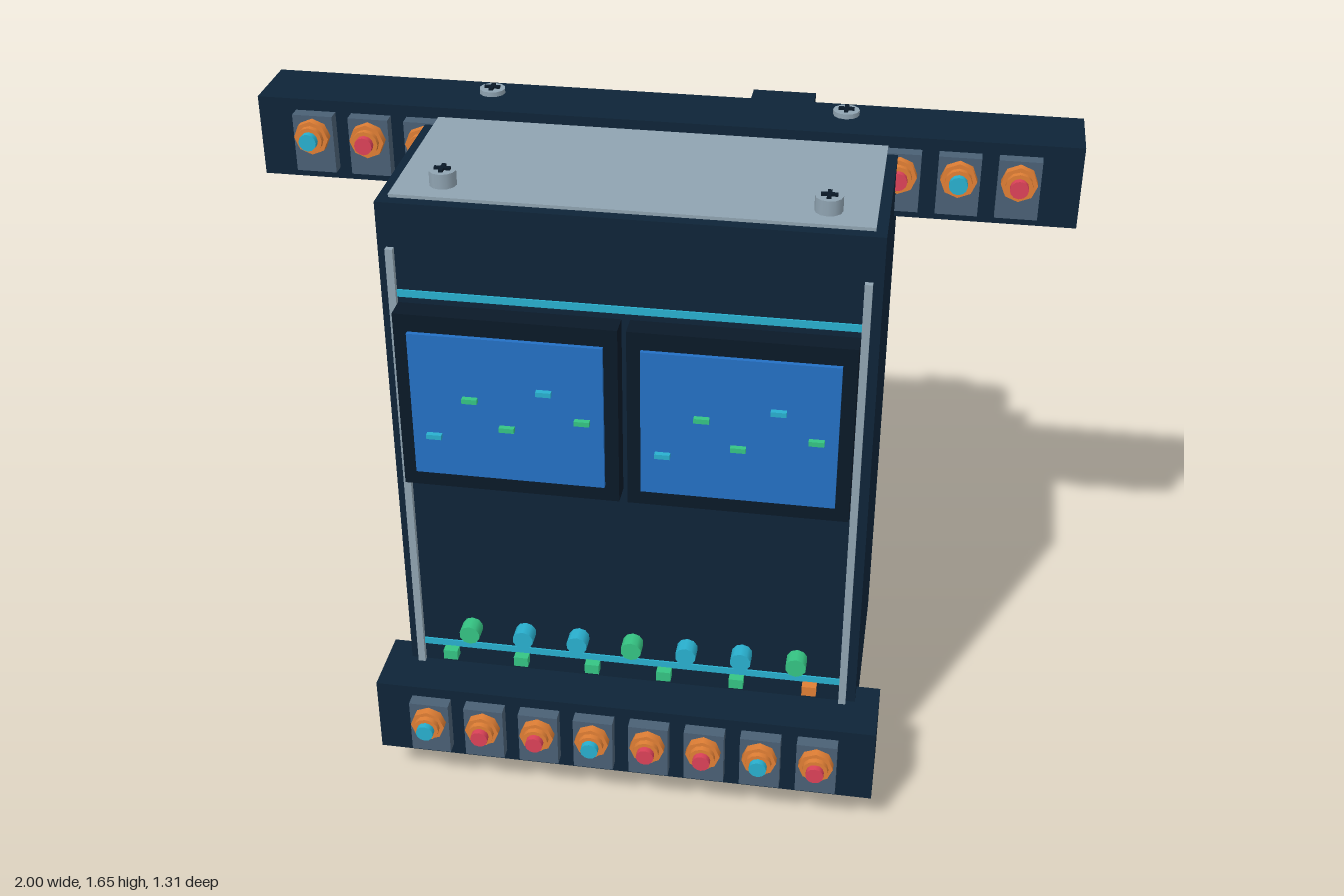
import * as THREE from 'three';

const mat = (name, color) => {
  const m = new THREE.MeshStandardMaterial({ color });
  m.name = name;
  return m;
};

export function createModel() {
  const root = new THREE.Group();
  root.name = 'controlCabinet';
  const navy = mat('navy', 0x0e2438), ink = mat('ink', 0x0a1928), blue = mat('blue', 0x2470c4),
    silver = mat('silver', 0x8fa3b1), slate = mat('slate', 0x4a6075), charcoal = mat('charcoal', 0x2b3743),
    teal = mat('teal', 0x29b0cf), green = mat('green', 0x35c483), orange = mat('orange', 0xe07f35),
    red = mat('red', 0xdc4258);

  const group = (name, parent = root) => {
    const g = new THREE.Group();
    g.name = name;
    parent.add(g);
    return g;
  };
  // box given by its limits on each axis
  const box = (name, m, x0, x1, y0, y1, z0, z1, parent = root) => {
    const b = new THREE.Mesh(new THREE.BoxGeometry(x1 - x0, y1 - y0, z1 - z0), m);
    b.position.set((x0 + x1) / 2, (y0 + y1) / 2, (z0 + z1) / 2);
    b.name = name;
    parent.add(b);
    return b;
  };
  // cylinder running from a to b along an axis, centred on (u, v) of the other two
  const rod = (name, m, axis, a, b, u, v, r, sides, parent = root) => {
    const geo = new THREE.CylinderGeometry(r, r, b - a, sides);
    if (axis === 'x') geo.rotateZ(-Math.PI / 2);
    if (axis === 'z') geo.rotateX(Math.PI / 2);
    const c = new THREE.Mesh(geo, m), mid = (a + b) / 2;
    if (axis === 'x') c.position.set(mid, u, v);
    if (axis === 'y') c.position.set(u, mid, v);
    if (axis === 'z') c.position.set(u, v, mid);
    c.name = name;
    parent.add(c);
    return c;
  };

  // cabinet, top plate and feet
  box('cabinetBody', navy, -0.57, 0.57, 0.105, 1.6, -0.225, 0.453);
  box('topPlate', silver, -0.545, 0.545, 1.6, 1.608, -0.215, 0.425);
  for (const x of [-0.495, 0.495])
    for (const z of [0.385, -0.16])
      box('foot', navy, x - 0.05, x + 0.05, 0, 0.106, z - 0.063, z + 0.063);

  // accent stripes, front and back
  for (const y of [1.375, 0.37]) {
    box('frontStripe', teal, -0.535, 0.535, y - 0.009, y + 0.009, 0.452, 0.457);
    box('backStripe', teal, -0.545, 0.545, y - 0.007, y + 0.007, -0.231, -0.224);
  }
  for (const x of [-0.541, 0.538])
    box('frontRail', silver, x - 0.009, x + 0.009, 0.3, 1.49, 0.453, 0.467);

  // screens with small readout marks
  const marks = [[-0.175, 1.04], [-0.085, 1.145], [0, 1.075], [0.09, 1.18], [0.178, 1.11]];
  for (const x of [-0.272, 0.268]) {
    const s = group('screen');
    box('bezel', ink, x - 0.26, x + 0.26, 0.89, 1.35, 0.45, 0.508, s);
    box('display', blue, x - 0.227, x + 0.227, 0.932, 1.306, 0.5, 0.519, s);
    marks.forEach(([dx, y], i) =>
      box('readoutMark', i % 3 ? green : teal, x + dx - 0.018, x + dx + 0.018, y - 0.006, y + 0.006, 0.515, 0.532, s));
  }

  // knobs and indicator lights
  for (let i = 0; i < 7; i++)
    rod('knob', i % 3 ? teal : green, 'z', 0.45, 0.494, -0.403 + i * 0.1373, 0.43, 0.026, 10);
  for (let i = 0; i < 6; i++) {
    const x = -0.46 + i * 0.183;
    box('indicatorLight', i < 5 ? green : orange, x - 0.018, x + 0.018, 0.335, 0.362, 0.45, 0.479);
  }

  // terminal boxes with connectors
  const connector = (x, y, z, tip) => {
    const c = group('connector');
    c.position.set(x, y, z);
    box('connectorPlate', slate, -0.05, 0.05, -0.097, 0.05, 0, 0.032, c);
    rod('connectorNut', orange, 'z', 0.03, 0.053, 0, 0, 0.043, 8, c);
    rod('connectorCollar', orange, 'z', 0.05, 0.067, 0, 0, 0.032, 12, c);
    rod('connectorTip', tip, 'z', 0.06, 0.083, 0, 0, 0.022, 12, c);
  };
  box('lowerTerminalBox', navy, -0.632, 0.63, 0.104, 0.31, 0.393, 0.572);
  for (let i = 0; i < 8; i++) connector(-0.49 + i * 0.14, 0.232, 0.572, i % 3 ? red : teal);
  box('upperTerminalBar', navy, -1, 1, 1.427, 1.632, -0.198, -0.019);
  [[-0.855, teal], [-0.715, red], [-0.575, red], [0.575, red], [0.715, teal], [0.855, red]]
    .forEach(([x, tip]) => connector(x, 1.553, -0.019, tip));

  // cross-head bolts on the roof
  for (const x of [-0.436, 0.436])
    for (const z of [0.353, -0.135]) {
      const b = group('roofBolt');
      rod('boltHead', silver, 'y', 1.6, 1.644, x, z, 0.032, 12, b);
      box('boltCross', ink, x - 0.019, x + 0.019, 1.64, 1.65, z - 0.005, z + 0.005, b);
      box('boltCross', ink, x - 0.005, x + 0.005, 1.64, 1.65, z - 0.019, z + 0.019, b);
    }

  // motor behind the cabinet
  const motor = group('motor'), my = 1.3, mz = -0.487;
  rod('motorBody', blue, 'x', 0.02, 0.47, my, mz, 0.162, 40, motor);
  for (let i = 0; i < 11; i++) {
    const x = 0.06 + i * 0.037;
    rod('coolingFin', charcoal, 'x', x - 0.006, x + 0.006, my, mz, 0.168, 40, motor);
  }
  rod('motorShaft', silver, 'x', 0.46, 0.58, my, mz, 0.036, 20, motor);
  rod('fanCover', ink, 'x', -0.034, -0.003, my, mz, 0.132, 32, motor);
  box('motorJunctionBox', navy, 0.165, 0.33, 1.4, 1.506, -0.565, -0.412, motor);
  box('motorBase', slate, 0.055, 0.435, 1.107, 1.167, -0.603, -0.371, motor);

  return root;
}
